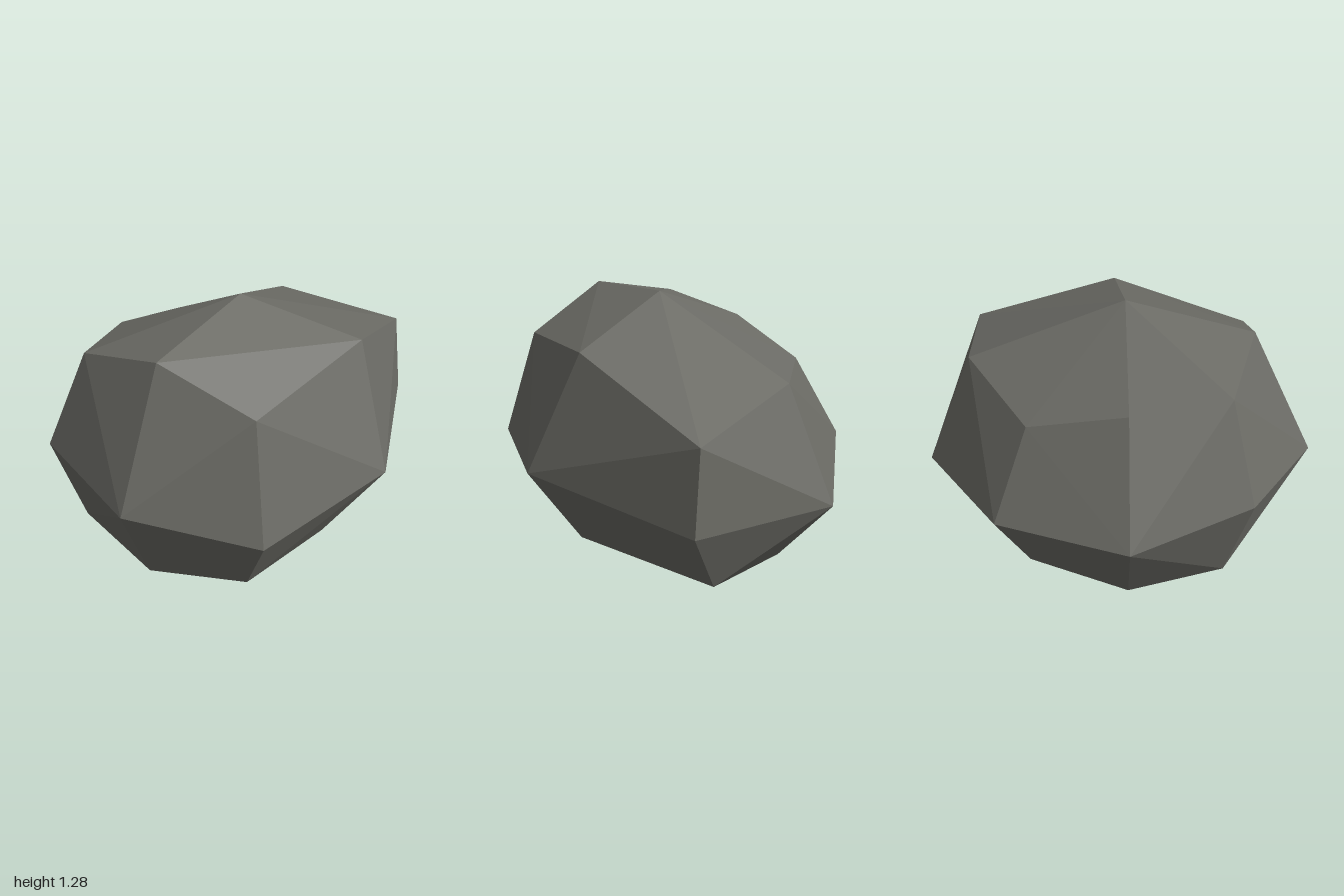
import * as THREE from 'three';
import { ConvexGeometry } from 'three/addons/geometries/ConvexGeometry.js';

export function createModel() {
  const group = new THREE.Group();
  group.name = 'boulder';

  const stone = new THREE.MeshStandardMaterial({ color: 0x6b6b65 });
  stone.name = 'stone grey';

  // Three irregular rings of eight corners, running front, left, back, right
  const base = [
    [0.175, 0.015, 0.76], [0.61, 0.065, 0.5], [0.57, 0.04, -0.08], [0.125, 0.065, -0.805],
    [-0.345, 0, -0.54], [-0.66, 0.105, -0.11], [-0.555, 0.02, 0.395], [-0.295, 0.125, 0.796],
  ];
  const waist = [
    [0.305, 0.555, 1], [0.8, 0.43, 0.58], [0.855, 0.51, -0.2], [0.3, 0.45, -1],
    [-0.48, 0.39, -0.825], [-0.86, 0.465, -0.175], [-0.77, 0.47, 0.505], [-0.345, 0.61, 0.94],
  ];
  const shoulder = [
    [0.215, 1.2, 0.685], [0.64, 1.005, 0.48], [0.59, 1.115, -0.27], [0.265, 0.87, -0.968],
    [-0.31, 0.975, -0.645], [-0.62, 0.9, -0.12], [-0.49, 1.025, 0.355], [-0.24, 1.095, 0.76],
  ];
  // Top peak and underside centre
  const poles = [[0.08, 1.285, 0.05], [0.02, 0.004, 0.15]];

  // Flat facets stretched over all the corners
  const corners = [...base, ...waist, ...shoulder, ...poles].map((p) => new THREE.Vector3(...p));
  const rock = new THREE.Mesh(new ConvexGeometry(corners), stone);
  rock.name = 'rock';
  group.add(rock);
  return group;
}
